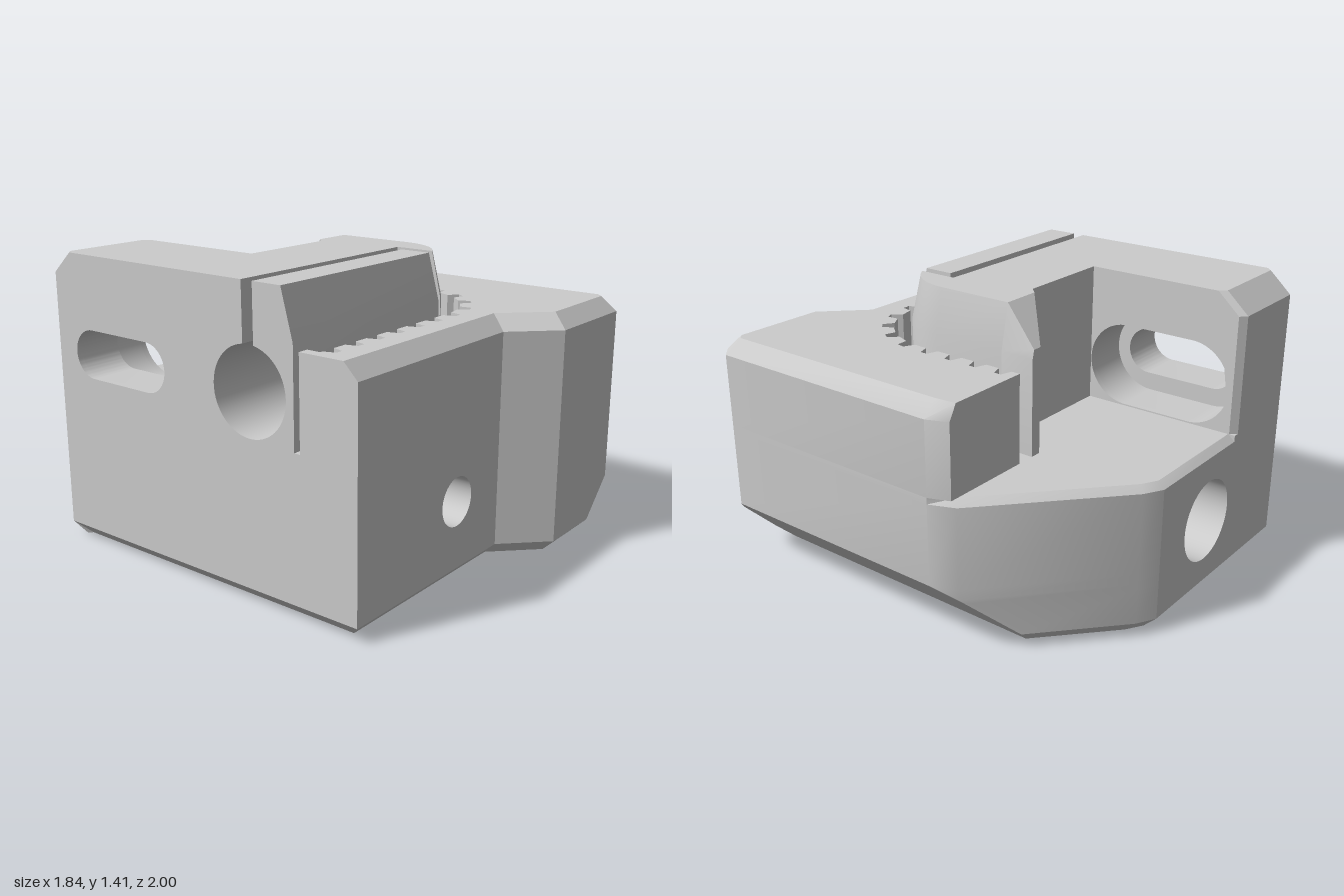
import * as THREE from 'three';
import { toCreasedNormals } from 'three/addons/utils/BufferGeometryUtils.js';

const FLOOR = 0.74, RIM = 1.16, TOP = 1.41;
const mat = new THREE.MeshStandardMaterial({ color: 0xcccccc });
const matOpen = new THREE.MeshStandardMaterial({ color: 0xcccccc, side: THREE.DoubleSide });

function add(group, name, geo, material = mat) {
  const mesh = new THREE.Mesh(toCreasedNormals(geo, 0.5), material);
  mesh.name = name;
  group.add(mesh);
  return mesh;
}

// lift a plan outline [x, z] to height y
const lift = (pts, y) => pts.map(([x, z]) => [x, y, z]);

// skin between stacked outlines, capped at both ends; skip(k, i) leaves out a side panel
function loft(rings, skip = () => false) {
  const pos = [], n = rings[0].length;
  const tri = (...p) => p.forEach(v => pos.push(...v));
  for (let k = 0; k < rings.length - 1; k++) {
    for (let i = 0; i < n; i++) {
      if (skip(k, i)) continue;
      const j = (i + 1) % n, a = rings[k], b = rings[k + 1];
      tri(a[i], a[j], b[j]);
      tri(a[i], b[j], b[i]);
    }
  }
  const cap = (r, up) => {
    const flat = r.map(p => new THREE.Vector2(p[0], -p[2]));
    for (const [a, b, c] of THREE.ShapeUtils.triangulateShape(flat, [])) {
      if (up) tri(r[a], r[b], r[c]); else tri(r[a], r[c], r[b]);
    }
  };
  cap(rings[0], false);
  cap(rings[rings.length - 1], true);
  const geo = new THREE.BufferGeometry();
  geo.setAttribute('position', new THREE.Float32BufferAttribute(pos, 3));
  return geo;
}

// extrude a side profile (drawn in -z, y) from x0 to x1
function slab(shape, x0, x1) {
  const geo = new THREE.ExtrudeGeometry(shape, { depth: x1 - x0, bevelEnabled: false, curveSegments: 24 });
  return geo.rotateY(Math.PI / 2).translate(x0, 0, 0);
}

function addBase(group) {
  // plan outline, cut by the sloping corner at x = c
  const plan = c => {
    const x = Math.min(0.92, c), onDiagonal = z => -0.42 - (0.87 - z) * 0.914;
    const g = Math.min(0.87, c);
    return [[-0.92, 0.8], [0.13, 0.8], [0.33, 1], [Math.min(0.85, c), 1],
      [x, 1 - Math.max(0, x - 0.85)],
      [x, x > 0.87 ? -0.3 - (0.92 - x) * 2.4 : onDiagonal(x)], [g, onDiagonal(g)],
      [0.29, -0.95], [0.2, -1], [-0.43, -1], [-0.43, -1], [-0.89, -1], [-0.92, -0.97]];
  };
  const bottom = [[-0.85, 0.73], [0.16, 0.73], [0.36, 0.93], [0.6, 0.93], [0.6, 0.93],
    [0.6, -0.575], [0.6, -0.575], [0.27, -0.88], [0.19, -0.93], [-0.43, -0.93],
    [-0.43, -0.93], [-0.87, -0.93], [-0.85, -0.91]];
  const top = plan(1);
  top[6] = [0.84, -0.4];
  top[7] = [0.265, -0.925];
  top[8] = [0.19, -0.965];
  top[9] = [-0.43, -0.965];
  const rings = [lift(bottom, 0)];
  for (const y of [0.07, 0.25, 0.27, 0.32, 0.71]) rings.push(lift(plan(0.6 + y), y));
  rings.push(lift(top, FLOOR));
  add(group, 'base', loft(rings, (k, i) => k > 0 && k < 5 && [0, 8, 9, 10].includes(i)));

  // front and back panels pierced by the stepped bore
  const bx = -0.21, by = 0.39, step = 0.4;
  const panel = (x0, x1, r) => {
    const s = new THREE.Shape([[x0, 0.07], [x1, 0.07], [x1, 0.71], [x0, 0.71]].map(p => new THREE.Vector2(...p)));
    s.holes.push(new THREE.Path().absarc(bx, by, r, 0, Math.PI * 2, true));
    return new THREE.ShapeGeometry(s, 24);
  };
  add(group, 'frontPanel', panel(-0.92, 0.13, 0.115).translate(0, 0, 0.8), matOpen);
  add(group, 'backPanel', panel(-0.89, 0.2, 0.2).translate(0, 0, -1), matOpen);
  const tube = (r, z0, z1) => new THREE.CylinderGeometry(r, r, z1 - z0, 48, 1, true)
    .rotateX(Math.PI / 2).translate(bx, by, (z0 + z1) / 2);
  add(group, 'screwBore', tube(0.115, step, 0.8), matOpen);
  add(group, 'screwHeadBore', tube(0.2, -1, step), matOpen);
  add(group, 'boreShoulder', new THREE.RingGeometry(0.115, 0.2, 48).translate(bx, by, step), matOpen);
}

// outer wall with a toothed inner face following the belt path
function addBeltWall(group) {
  const R = 0.425, straight = 0.87, arc = R * Math.PI / 2;
  const at = (s, out) => {
    if (s < straight) return [s - straight, 0.15 + R + out];
    if (s > straight + arc) return [R + out, 0.15 - (s - straight - arc)];
    const a = Math.PI / 2 - (s - straight) / R;
    return [(R + out) * Math.cos(a), 0.15 + (R + out) * Math.sin(a)];
  };
  const inner = [[-0.92, 0.51], [-0.87, 0.51], at(0, 0)];
  for (let s = 0.05; s < 2.05; s += 0.14) {
    inner.push(at(s - 0.035, 0), at(s - 0.018, 0.055), at(s + 0.018, 0.055), at(s + 0.035, 0));
  }
  inner.push([R, -0.4]);
  inner.reverse();
  const outer = [[-0.92, 0.8], [0.13, 0.8], [0.33, 1], [0.85, 1], [0.92, 0.93], [0.92, -0.3], [0.88, -0.4]];
  const rim = [[-0.92, 0.73], [0.16, 0.73], [0.36, 0.93], [0.82, 0.93], [0.85, 0.9], [0.85, -0.3], [0.84, -0.4]];
  const wall = [...outer, ...inner];
  add(group, 'beltWall', loft([lift(wall, FLOOR), lift(wall, 1.09), lift([...rim, ...inner], RIM)]));
}

// raised core with a round tunnel and a springy clamping tab
function addCore(group) {
  const up = Math.PI / 2, gap = 0.15;
  const start = () => {
    const s = new THREE.Shape();
    s.moveTo(0.19, FLOOR);
    s.lineTo(0.19, TOP);
    s.lineTo(-0.21, TOP);
    return s;
  };
  const tab = start();
  tab.absarc(-0.24, 0.95, 0.2, up - gap, up + gap, true);
  for (const p of [[-0.27, TOP], [-0.42, TOP], [-0.48, 1.19], [-0.48, FLOOR]]) tab.lineTo(...p);
  add(group, 'coreWithTab', slab(tab, -0.92, 0.09));

  const web = start();
  web.absarc(-0.24, 0.95, 0.2, up - gap, -up, true);
  web.lineTo(-0.24, FLOOR);
  add(group, 'tabGap', slab(web, 0.09, 0.14));

  // rounded, tapered corner
  const corner = inset => {
    const r = 0.335 - inset, a1 = Math.acos(0.14 / r), pts = [];
    for (let i = 0; i <= 14; i++) {
      const a = a1 * (1 - i / 14);
      pts.push([r * Math.cos(a), 0.15 + r * Math.sin(a)]);
    }
    return [...pts, [r, -0.23], [0.1, -0.23], [0.06, -0.19], [0.14, -0.19]];
  };
  add(group, 'coreCorner', loft([lift(corner(0), FLOOR), lift(corner(0), 1.2), lift(corner(0.045), TOP)]));

  // nose behind the corner, its top sloping down to the back
  const nose = [[0.1, -0.23], [0.335, -0.23], [0.335, -0.4], [0.28, -0.4]];
  const noseTop = [[0.1, TOP, -0.23], [0.29, TOP, -0.23], [0.325, 1.24, -0.4], [0.28, 1.24, -0.4]];
  add(group, 'coreNose', loft([lift(nose, FLOOR), lift(nose, 1.2), noseTop]));
}

// rear arm with a through slot and a wider recess on its inner side
function addArm(group) {
  const profile = (r, z0, z1) => {
    const s = new THREE.Shape([[0.19, FLOOR], [1, FLOOR], [1, 1.31], [0.89, TOP], [0.19, TOP]]
      .map(p => new THREE.Vector2(...p)));
    const h = new THREE.Path();
    h.absarc(z1, 0.95, r, -Math.PI / 2, Math.PI / 2, false);
    h.absarc(z0, 0.95, r, Math.PI / 2, Math.PI * 1.5, false);
    s.holes.push(h);
    return s;
  };
  // chamfer the rear upright edge on the side at x
  const chamfer = (geo, x) => {
    const p = geo.attributes.position;
    for (let i = 0; i < p.count; i++) {
      const rear = p.getZ(i) < -0.96 || (p.getY(i) > 1.3 && p.getZ(i) < -0.8);
      if (rear && Math.abs(p.getX(i) - x) < 1e-4) p.setZ(i, p.getZ(i) + 0.03);
    }
    return geo;
  };
  const slot = profile(0.115, 0.375, 0.735), recess = profile(0.203, 0.396, 0.745);
  add(group, 'armOuterEdge', chamfer(slab(slot, -0.92, -0.89), -0.92));
  add(group, 'armSlot', slab(slot, -0.89, -0.68));
  add(group, 'armRecess', slab(recess, -0.68, -0.46));
  add(group, 'armInnerEdge', chamfer(slab(recess, -0.46, -0.43), -0.43));
}

export function createModel() {
  const group = new THREE.Group();
  group.name = 'beltClampBlock';
  addBase(group);
  addBeltWall(group);
  addCore(group);
  addArm(group);
  return group;
}
